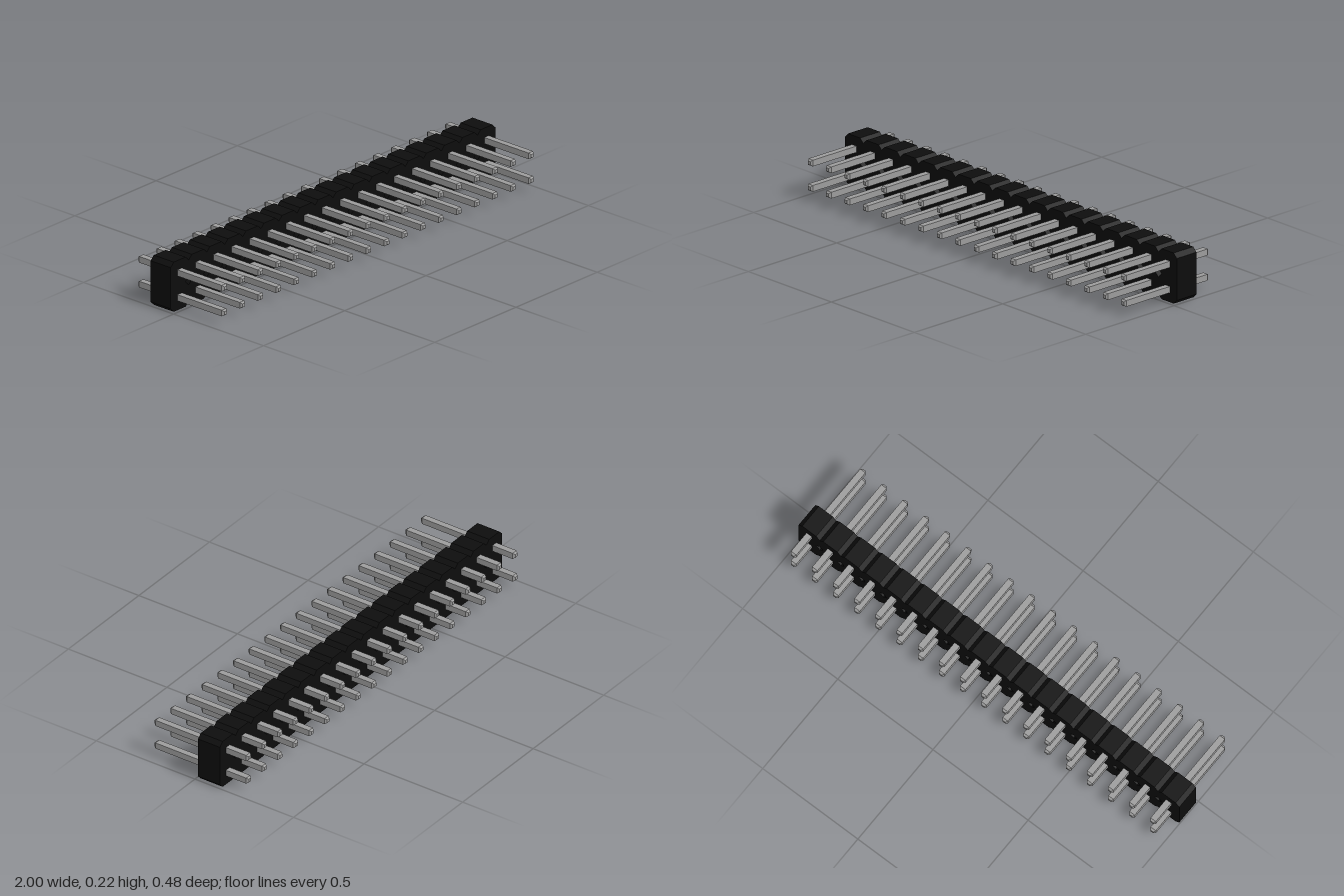
import * as THREE from 'three';

const COLUMNS = 18;
const PITCH = 2 / COLUMNS;
const HEIGHT = 2 * PITCH;
const CHAMFER = 0.019;

// Housing outline: notched along top and bottom, diamond gaps between the rows
function createHousingGeometry() {
  const outline = [];
  for (let i = 0; i < COLUMNS; i++) {
    const x = -1 + i * PITCH;
    outline.push([x, CHAMFER], [x + CHAMFER, 0], [x + PITCH - CHAMFER, 0]);
  }
  outline.push([1, CHAMFER]);
  const upper = outline.map(([x, y]) => [x, HEIGHT - y]).reverse();
  const shape = new THREE.Shape([...outline, ...upper].map(([x, y]) => new THREE.Vector2(x, y)));

  for (let i = 1; i < COLUMNS; i++) {
    const x = -1 + i * PITCH;
    shape.holes.push(new THREE.Path([
      new THREE.Vector2(x - CHAMFER, PITCH),
      new THREE.Vector2(x, PITCH + CHAMFER),
      new THREE.Vector2(x + CHAMFER, PITCH),
      new THREE.Vector2(x, PITCH - CHAMFER),
    ]));
  }
  const geometry = new THREE.ExtrudeGeometry(shape, { depth: 0.111, bevelEnabled: false });
  geometry.translate(0, 0, -0.127);
  return geometry;
}

// Square pin with tapered ends, running along z
function createPinGeometry() {
  const half = 0.0138, tip = 0.0075, end = 0.239, taper = 0.009;
  const profile = [
    [0, -end], [tip, -end], [half, -end + taper],
    [half, end - taper], [tip, end], [0, end],
  ].map(([r, y]) => new THREE.Vector2(r * Math.SQRT2, y));
  const geometry = new THREE.LatheGeometry(profile, 4, Math.PI / 4).toNonIndexed();
  geometry.rotateX(Math.PI / 2);
  geometry.computeVertexNormals();
  return geometry;
}

export function createModel() {
  const plastic = new THREE.MeshStandardMaterial({ color: 0x0d0d0d });
  plastic.name = 'black plastic';
  const metal = new THREE.MeshStandardMaterial({ color: 0x9c9c9c });
  metal.name = 'grey metal';

  const model = new THREE.Group();
  model.name = 'pinHeader';

  const housing = new THREE.Mesh(createHousingGeometry(), plastic);
  housing.name = 'housing';
  model.add(housing);

  // Two rows of pins
  const pinGeometry = createPinGeometry();
  ['lowerPins', 'upperPins'].forEach((name, row) => {
    const pins = new THREE.Group();
    pins.name = name;
    for (let i = 0; i < COLUMNS; i++) {
      const pin = new THREE.Mesh(pinGeometry, metal);
      pin.name = 'pin';
      pin.position.set(-1 + (i + 0.5) * PITCH, (row + 0.5) * PITCH, 0);
      pins.add(pin);
    }
    model.add(pins);
  });
  return model;
}
